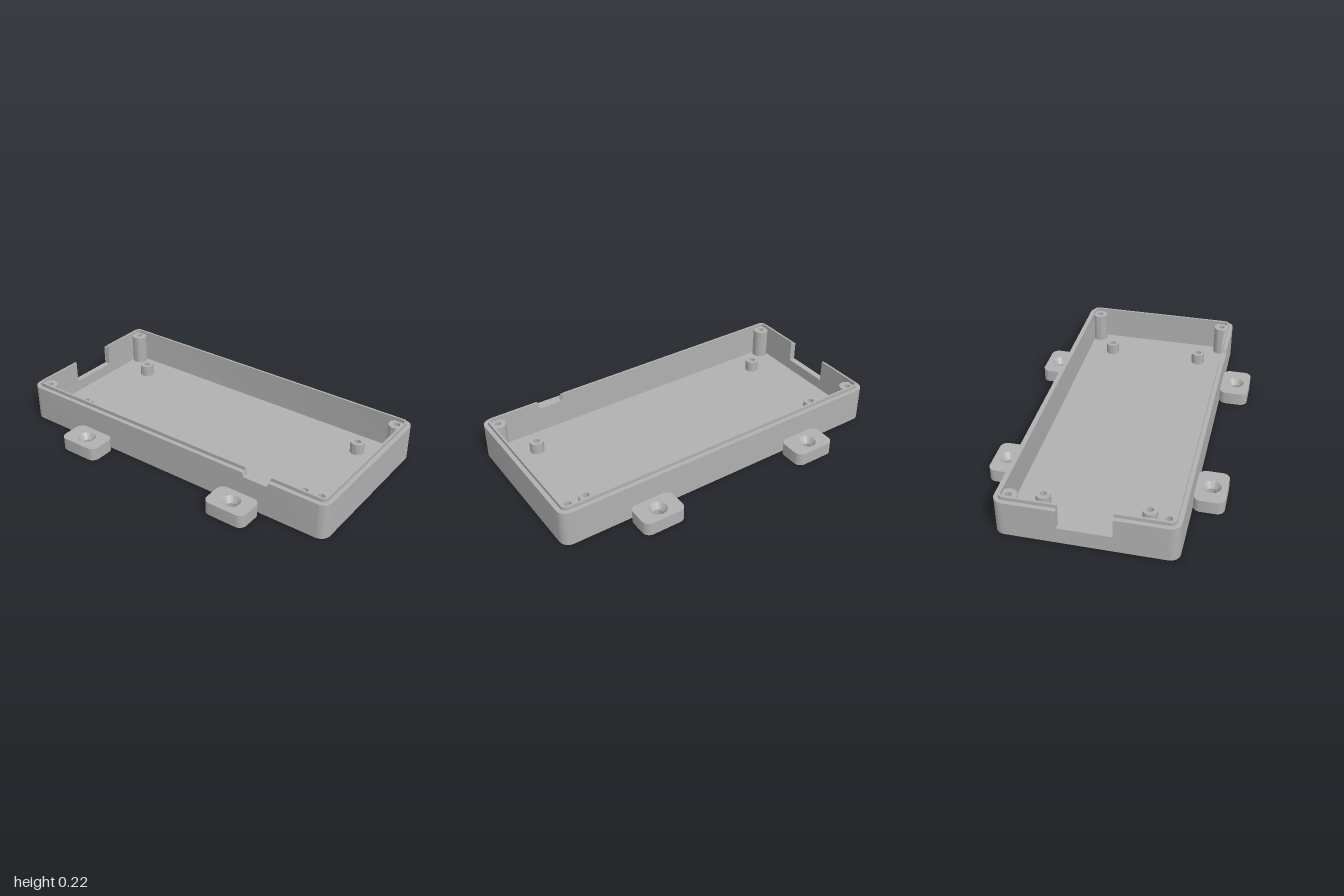
import * as THREE from 'three';
import { toCreasedNormals } from 'three/addons/utils/BufferGeometryUtils.js';

const HX = 1, HZ = 0.4725, R = 0.055;        // outer half sizes and corner radius
const WALL = 0.036, LIP = 0.024;             // insets of the inner wall and of the lip
const FLOOR = 0.03, RIM = 0.205, TOP = 0.225;

// Rounded rectangle extruded upward from y = 0
function slab(hx, hz, r, height, hole) {
  const s = new THREE.Shape();
  const H = Math.PI / 2;
  s.absarc(hx - r, hz - r, r, 0, H);
  s.absarc(-hx + r, hz - r, r, H, 2 * H);
  s.absarc(-hx + r, -hz + r, r, 2 * H, 3 * H);
  s.absarc(hx - r, -hz + r, r, 3 * H, 4 * H);
  s.closePath();
  if (hole) s.holes.push(new THREE.Path().absarc(0, 0, hole, 0, Math.PI * 2, true));
  const g = new THREE.ExtrudeGeometry(s, { depth: height, bevelEnabled: false, curveSegments: 12 });
  return toCreasedNormals(g.rotateX(-H), 0.6);
}

function lathe(points) {
  const g = new THREE.LatheGeometry(points.map(([x, y]) => new THREE.Vector2(x, y)), 32);
  return toCreasedNormals(g, 0.5);
}

// Stepped wall section swept round the box; its height is capped at the cutouts
function wallGeometry() {
  const stations = [];
  const add = (x, z, nx, nz, cap = TOP) => stations.push({ x, z, nx, nz, cap });
  const corner = (sx, sz, start) => {
    for (let i = 0; i <= 10; i++) {
      const a = start + (i / 10) * Math.PI / 2, c = Math.cos(a), s = Math.sin(a);
      add(sx * (HX - R) + c * R, sz * (HZ - R) + s * R, c, s);
    }
  };
  corner(1, 1, 0);
  // tapered front cutout
  [[0.665, TOP], [0.655, 0.18], [0.515, 0.18], [0.505, TOP]].forEach(([x, cap]) => add(x, HZ, 0, 1, cap));
  corner(-1, 1, Math.PI / 2);
  // deep cutout in the right end
  [[0.143, TOP], [0.143, 0.095], [-0.143, 0.095], [-0.143, TOP]].forEach(([z, cap]) => add(-HX, z, -1, 0, cap));
  corner(-1, -1, Math.PI);
  corner(1, -1, Math.PI * 1.5);

  const section = [[0, 0], [0, RIM], [LIP, RIM], [LIP, TOP], [WALL, TOP], [WALL, 0]];
  const n = section.length, pos = [];
  const point = (i, k) => {
    const s = stations[i % stations.length], [d, h] = section[k % n];
    return [s.x - s.nx * d, Math.min(h, s.cap), s.z - s.nz * d];
  };
  for (let i = 0; i < stations.length; i++) {
    for (let k = 0; k < n; k++) {
      const a = point(i, k), b = point(i, k + 1), c = point(i + 1, k + 1), d = point(i + 1, k);
      pos.push(...a, ...b, ...c, ...a, ...c, ...d);
    }
  }
  const g = new THREE.BufferGeometry();
  g.setAttribute('position', new THREE.Float32BufferAttribute(pos, 3));
  return toCreasedNormals(g, 0.5);
}

// Hollow screw post standing on the floor
const post = (r, hole, top) => lathe([[r, FLOOR - 0.01], [r, top], [hole, top], [hole, FLOOR + 0.002], [0, FLOOR + 0.002]]);

export function createModel() {
  const model = new THREE.Group();
  model.name = 'enclosureBase';
  const grey = new THREE.MeshStandardMaterial({ color: 0xb0b0b0 });
  grey.name = 'grey plastic';

  const place = (name, geometry, x = 0, z = 0, parent = model) => {
    const mesh = new THREE.Mesh(geometry, grey);
    mesh.name = name;
    mesh.position.set(x, 0, z);
    parent.add(mesh);
  };

  place('floor', slab(HX - WALL, HZ - WALL, R - WALL, FLOOR));
  place('walls', wallGeometry());

  const cornerPost = post(0.045, 0.018, RIM);
  const standoff = post(0.04, 0.018, 0.095);
  const lugBody = slab(0.123, 0.0835, 0.042, 0.075, 0.05);
  // countersunk screw hole lining
  const lugHole = lathe([[0.05, 0.075], [0.027, 0.04], [0.027, 0], [0.05, 0]]);

  for (const sx of [-1, 1]) {
    for (const sz of [-1, 1]) {
      place('cornerPost', cornerPost, sx * 0.928, sz * 0.404);
      place('boardStandoff', standoff, sx * 0.765, sz * 0.281);
      const lug = new THREE.Group();
      lug.name = 'mountingLug';
      lug.position.set(sx * 0.5, 0, sz * 0.555);
      place('lugBody', lugBody, 0, 0, lug);
      place('lugScrewHole', lugHole, 0, 0, lug);
      model.add(lug);
    }
  }
  return model;
}
